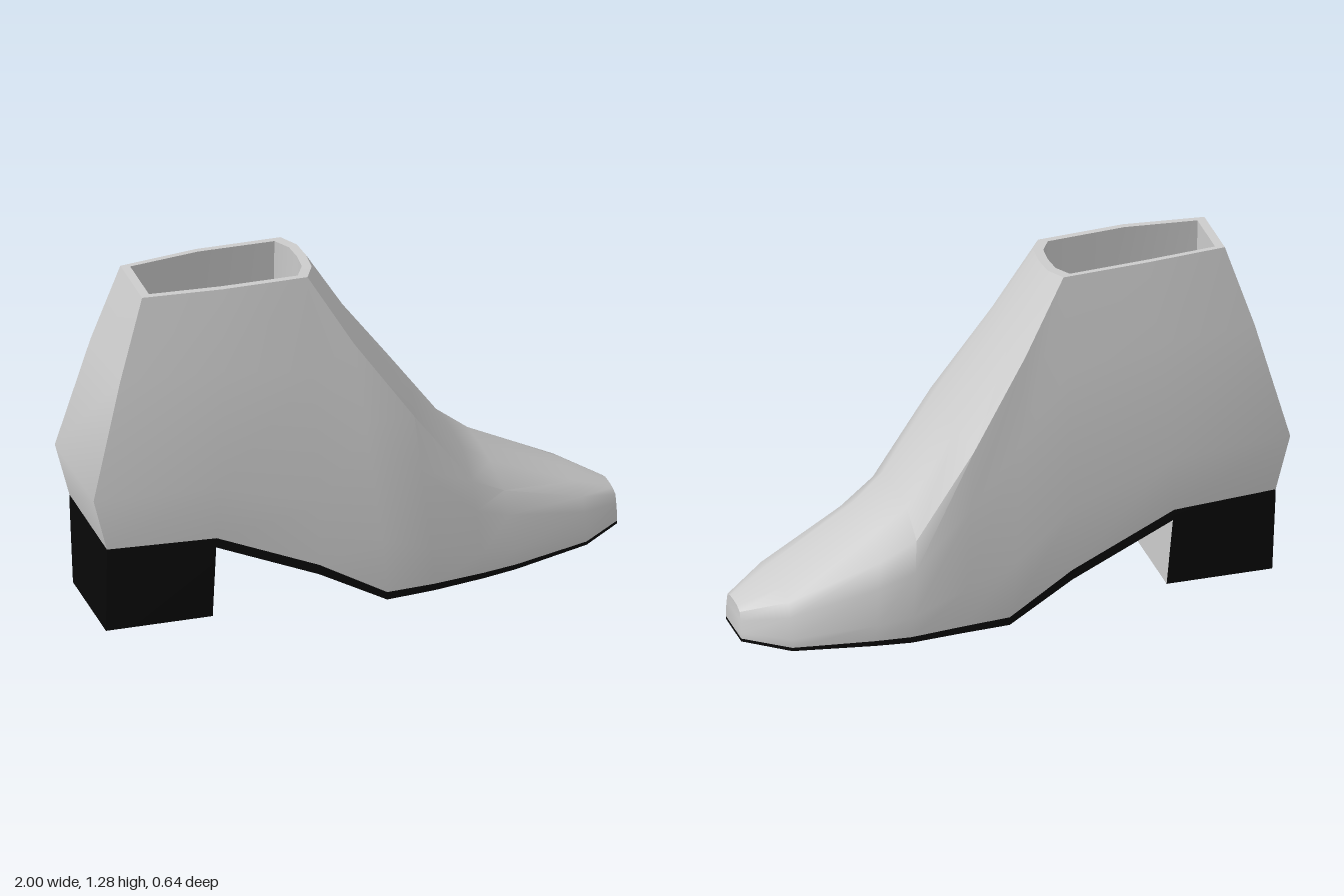
import * as THREE from 'three';
import { toCreasedNormals } from 'three/addons/utils/BufferGeometryUtils.js';

const GREY = 0xcccccc;
const BLACK = 0x080808;

// Sole edge from heel to toe: x, y, width toward +z, width toward -z
const SOLE = [
  [-0.95, 0.335, 0.215, 0.2], [-0.56, 0.34, 0.27, 0.25], [-0.18, 0.165, 0.275, 0.26],
  [0.06, 0.03, 0.31, 0.29], [0.24, 0.026, 0.3, 0.3], [0.43, 0.022, 0.275, 0.315],
  [0.56, 0.019, 0.25, 0.3], [0.85, 0.013, 0.165, 0.25], [1, 0.011, 0.055, 0.125],
];
// Upper edge of the side walls (collar, then instep ridge): x, y, width factor
const RIDGE = [
  [-0.79, 1.28, 0.58], [-0.5, 1.28, 0.58], [-0.185, 1.27, 0.56],
  [-0.03, 1.0, 0.66], [0.18, 0.69, 0.85], [0.4, 0.38, 0.87],
  [0.53, 0.3, 0.83], [0.85, 0.17, 0.78], [1, 0.108, 0.8],
];
// Centre line of the instep, from collar to toe: x, y
const INSTEP = [[-0.14, 1.27], [0.005, 1.03], [0.215, 0.735], [0.4, 0.47], [0.51, 0.38], [0.85, 0.2], [1, 0.12]];
const REAR = 2; // stations behind the instep
const { lerp } = THREE.MathUtils;

// Cross-section running from the +z sole edge over the top to the -z sole edge
function section([x, y, zl, zr], i) {
  const mid = (zl - zr) / 2;
  const half = (zl + zr) / 2;
  const [rx, ry, rf] = RIDGE[i];
  const top = INSTEP[i - REAR] || [rx, ry];
  const heelBulge = i === 0 ? 0.65 : 0;
  // Walls swell low down, then narrow toward the ridge
  const side = [0, 0.22, 0.68, 1].map((t) => {
    const swell = t * (1 - t) ** 2;
    return [lerp(x, rx, t) - heelBulge * swell, lerp(y, ry, t), 1 - (1 - rf) * (t ** 1.2 - 1.8 * swell)];
  });
  side.push([lerp(top[0], rx, 0.15), lerp(top[1], ry, 0.15), rf * 0.55]);
  const at = (sign) => ([px, py, f]) => [px, py, mid + sign * half * f];
  return [...side.map(at(1)), [...top, mid], ...side.map(at(-1)).reverse()];
}

function meshFromQuads(name, quads, color, crease) {
  const pos = [];
  for (const [a, b, c, d] of quads) pos.push(...a, ...b, ...c, ...a, ...c, ...d);
  const geo = new THREE.BufferGeometry();
  geo.setAttribute('position', new THREE.Float32BufferAttribute(pos, 3));
  const mesh = new THREE.Mesh(
    toCreasedNormals(geo, crease),
    new THREE.MeshStandardMaterial({ color, side: THREE.DoubleSide })
  );
  mesh.name = name;
  return mesh;
}

// Quads joining two closed loops of equal length
const bridge = (a, b) => a.map((p, i) => {
  const j = (i + 1) % a.length;
  return [p, a[j], b[j], b[i]];
});

export function createModel() {
  const boot = new THREE.Group();
  boot.name = 'ankleBoot';
  const S = SOLE.map(section);
  const last = S.length - 1;

  // Upper: side walls, instep, heel back and toe cap
  const upper = [];
  for (let i = 0; i < last; i++) {
    for (let c = 0; c < 10; c++) {
      if (i < REAR && c >= 3 && c <= 6) continue; // ankle opening
      upper.push([S[i][c], S[i + 1][c], S[i + 1][c + 1], S[i][c + 1]]);
    }
  }
  for (let r = 0; r < 3; r++) upper.push([S[0][10 - r], S[0][r], S[0][r + 1], S[0][9 - r]]);
  const toe = S[last];
  for (let r = 0; r < 5; r++) upper.push([toe[r], toe[10 - r], toe[9 - r], toe[r + 1]]);
  boot.add(meshFromQuads('upper', upper, GREY, 0.95));

  // Collar rim and lining
  const collar = [S[0][3], S[1][3], ...S[REAR].slice(3, 8), S[1][7], S[0][7]];
  const centre = [-0.475, 0.42, 0];
  const inset = (sx, sz) => collar.map(([x, y, z]) => [lerp(centre[0], x, sx), y, z * sz]);
  const lip = inset(0.9, 0.86);
  const floor = inset(0.95, 1.35).map(([x, , z]) => [x, centre[1], z]);
  boot.add(meshFromQuads('collarRim', bridge(collar, lip), GREY, 0.5));
  const lining = bridge(lip, floor);
  floor.forEach((p, i) => lining.push([p, floor[(i + 1) % floor.length], centre, centre]));
  boot.add(meshFromQuads('lining', lining, GREY, 0.9));

  // Sole: thin slab under the whole foot
  const soleL = S.map((s) => s[0]);
  const soleR = S.map((s) => s[10]);
  const drop = ([x, y, z]) => [x, Math.max(0, y - 0.038), z];
  const lowL = soleL.map(drop);
  const lowR = soleR.map(drop);
  const sole = bridge([...lowL, ...lowR.slice().reverse()], [...soleL, ...soleR.slice().reverse()]);
  for (let i = 0; i < last; i++) sole.push([lowL[i], lowR[i], lowR[i + 1], lowL[i + 1]]);
  boot.add(meshFromQuads('sole', sole, BLACK, 0.3));

  // Heel: tapered block with a grey front face
  const low = [[-0.95, 0, 0.205], [-0.56, 0, 0.225], [-0.56, 0, -0.16], [-0.95, 0, -0.16]];
  const high = [[-0.95, 0.315, 0.215], [-0.56, 0.315, 0.265], [-0.56, 0.315, -0.24], [-0.95, 0.315, -0.2]];
  const walls = bridge(low, high);
  const front = walls.splice(1, 1);
  boot.add(meshFromQuads('heel', [...walls, low.slice().reverse()], BLACK, 0.3));
  boot.add(meshFromQuads('heelFront', front, GREY, 0.3));

  return boot;
}
